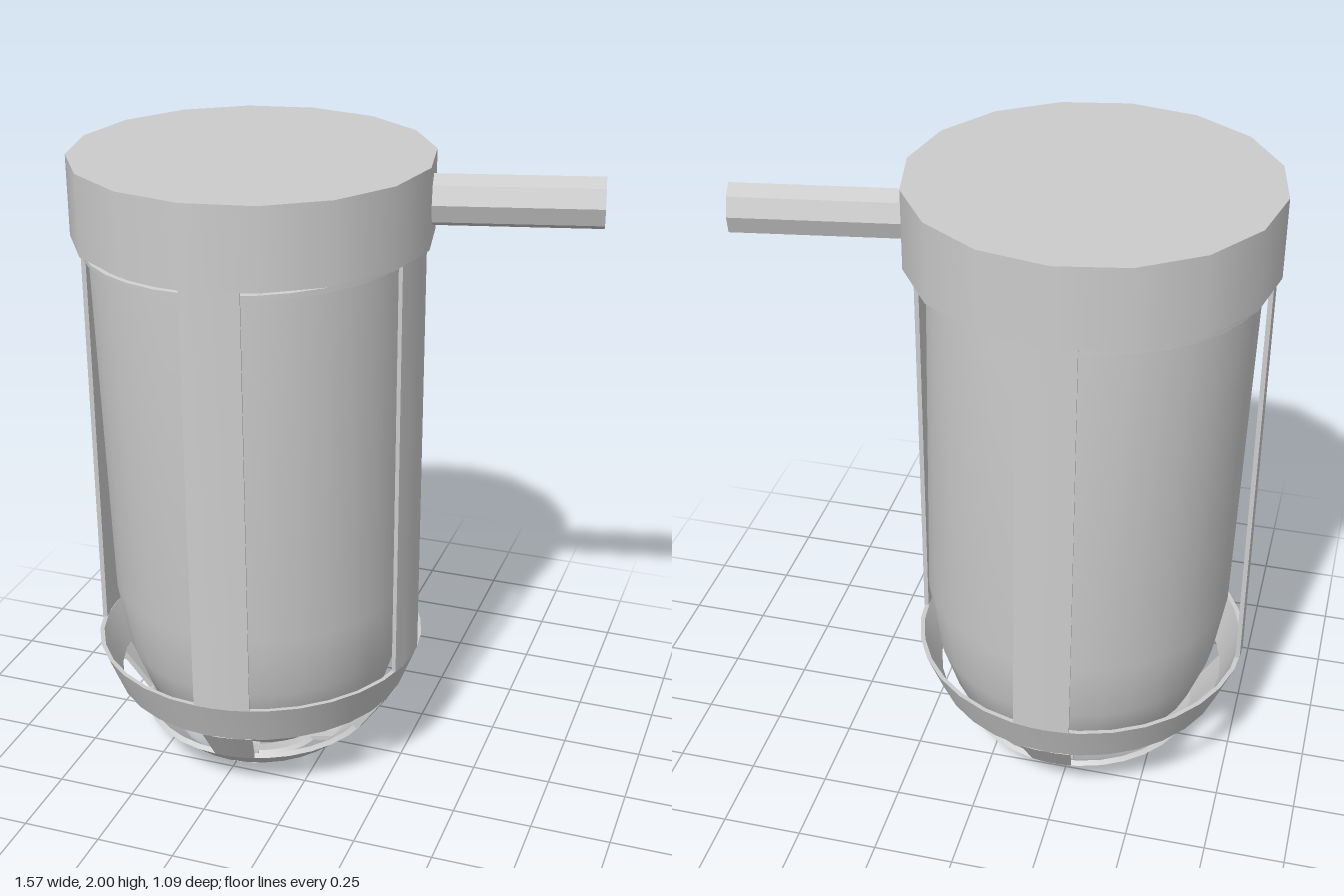
import * as THREE from 'three';
import { mergeGeometries, toCreasedNormals } from 'three/addons/utils/BufferGeometryUtils.js';

const material = new THREE.MeshStandardMaterial({ color: 0xcccccc, side: THREE.DoubleSide });
const facetMaterial = new THREE.MeshStandardMaterial({ color: 0xcccccc, flatShading: true });
const rad = THREE.MathUtils.degToRad;
const points = (list) => list.map(([r, y]) => new THREE.Vector2(r, y));

// Thin wall swept around y between two angles (degrees from +z towards +x), closed at its ends
function wall(lower, upper, from, to, segments) {
  const lift = (p) => (p[1] < 0.3 ? 0.01 : 0);
  const inner = (p) => [Math.max(p[0] - 0.014, 0), p[1] + lift(p)];
  const loop = points([lower, upper, inner(upper), inner(lower), lower]);
  const lathe = new THREE.LatheGeometry(loop, segments, rad(from), rad(to - from));
  const parts = [lathe];
  if (to - from < 360) {
    for (const angle of [from, to]) {
      parts.push(new THREE.ShapeGeometry(new THREE.Shape(loop.slice(0, 4))).rotateY(rad(angle) - Math.PI / 2));
    }
  }
  return toCreasedNormals(mergeGeometries(parts.map((g) => g.toNonIndexed())), 0.6);
}

export function createModel() {
  const model = new THREE.Group();
  const body = new THREE.Group();
  body.name = 'body';
  body.position.x = -0.24;
  model.add(body);

  const add = (name, geometry, parent, mat = material) => {
    const mesh = new THREE.Mesh(geometry, mat);
    mesh.name = name;
    parent.add(mesh);
    return mesh;
  };

  // Cap
  add('cap', new THREE.CylinderGeometry(0.545, 0.545, 0.245, 16), body).position.y = 1.8775;

  // Inner vessel, hanging slightly tilted inside the cage
  const profile = points([
    [0, 0.03], [0.1, 0.037], [0.19, 0.06], [0.3, 0.145], [0.4, 0.26], [0.452, 0.41],
    [0.4825, 0.62], [0.4875, 1.72], [0.505, 1.722], [0.505, 1.737], [0.492, 1.739], [0.492, 1.79],
  ]);
  const vessel = add('innerVessel', toCreasedNormals(new THREE.LatheGeometry(profile, 32), 0.6), body);
  vessel.position.set(0.0235, 0, -0.0175);
  vessel.rotation.set(0.012, 0, 0.018);

  // Cage: solid rings joined by four straps across the openings
  const cage = new THREE.Group();
  cage.name = 'cage';
  body.add(cage);

  const rings = [
    [[0, 0], [0.03, 0.001]],
    [[0.15, 0.012], [0.21, 0.027]],
    [[0.3, 0.06], [0.385, 0.135]],
    [[0.475, 0.265], [0.53, 0.405]],
    [[0.53, 1.755], [0.53, 1.8]],
  ];
  const straps = [[-2, 17], [74, 93], [169, 188], [265, 284]];

  rings.forEach(([lower, upper], i) => {
    add('cageRing', wall(lower, upper, 0, 360, 32), cage);
    if (i === rings.length - 1) return;
    for (const [from, to] of straps) {
      add('cageStrap', wall(upper, rings[i + 1][0], from, to, 3), cage);
    }
  });

  // Side handle, an eight-sided rod
  const start = new THREE.Vector3(0.2, 1.875, -0.088);
  const end = new THREE.Vector3(0.772, 1.885, -0.203);
  const rod = new THREE.CylinderGeometry(0.078, 0.078, start.distanceTo(end), 8)
    .rotateZ(-Math.PI / 2)
    .scale(1, 1, 0.86);
  const handle = add('handle', rod, model, facetMaterial);
  handle.position.lerpVectors(start, end, 0.5);
  handle.rotation.set(0, 0.198, 0.017);

  return model;
}
